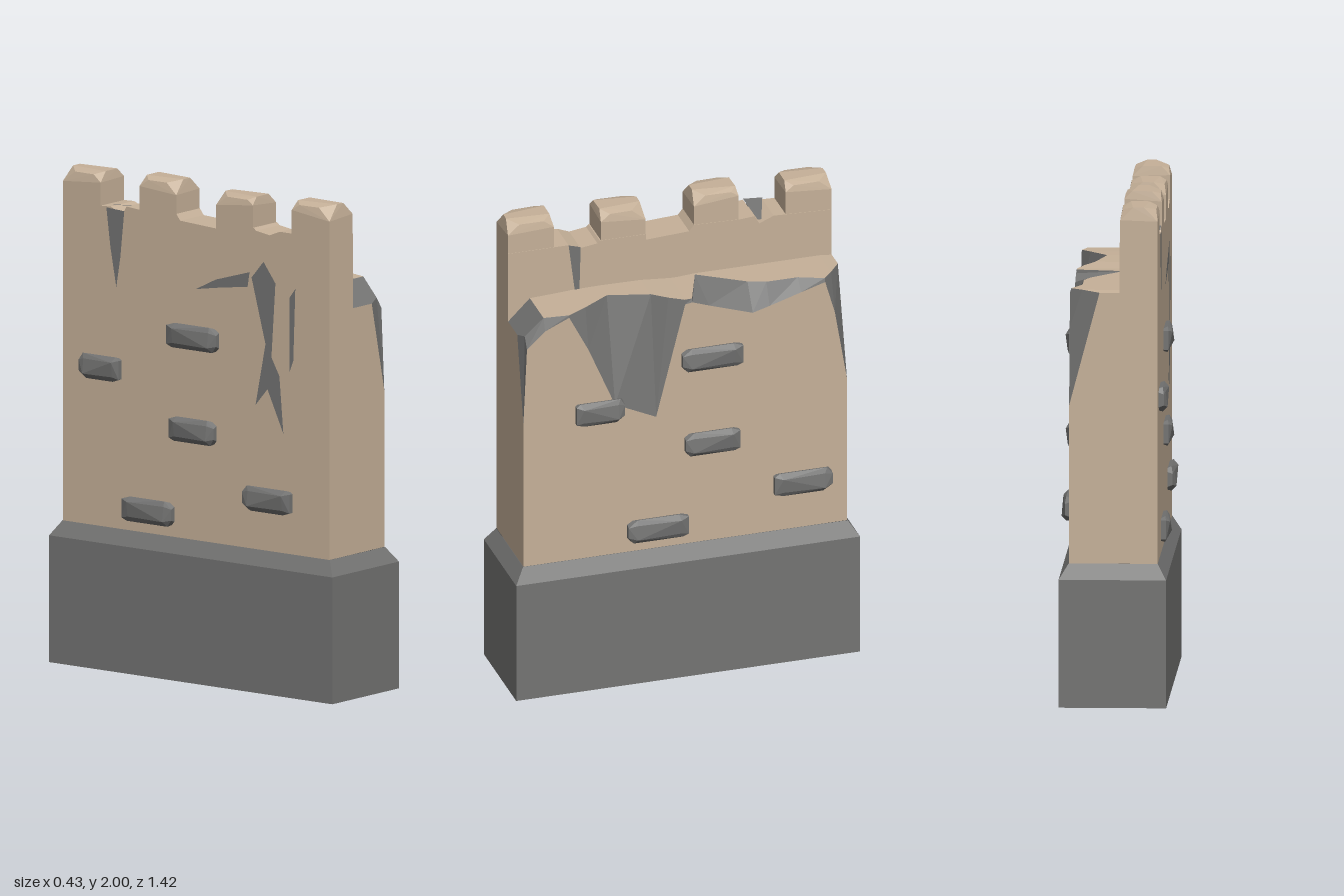
import * as THREE from 'three';
import { ConvexGeometry } from 'three/addons/geometries/ConvexGeometry.js';

const V = (x, y, z) => new THREE.Vector3(x, y, z);
const material = (name, color) => {
  const m = new THREE.MeshStandardMaterial({ color, flatShading: true, side: THREE.DoubleSide });
  m.name = name;
  return m;
};

// Joins successive rows of points with quads
function strip(rows) {
  const pts = [];
  for (let i = 0; i + 1 < rows.length; i++) {
    for (let j = 0; j + 1 < rows[i].length; j++) {
      const a = rows[i][j], c = rows[i][j + 1], b = rows[i + 1][j], d = rows[i + 1][j + 1];
      pts.push(a, c, b, c, d, b);
    }
  }
  const g = new THREE.BufferGeometry().setFromPoints(pts);
  g.computeVertexNormals();
  return g;
}

const shapeOf = (pts) => new THREE.Shape(pts.map(([a, b]) => new THREE.Vector2(a, b)));

function ring(x0, x1, z, y) {
  return [V(x0, y, z), V(x1, y, z), V(x1, y, -z), V(x0, y, -z), V(x0, y, z)];
}

export function createModel() {
  const model = new THREE.Group();
  model.name = 'ruinedWall';
  const sand = material('sandstone', 0xc6b199);
  const grey = material('greyStone', 0x747473);
  const add = (name, geometry, mat) => {
    const mesh = new THREE.Mesh(geometry, mat);
    mesh.name = name;
    model.add(mesh);
    return mesh;
  };

  // Hollow plinth with a bevelled upper edge
  add('plinth', strip([
    ring(-0.215, 0.21, 0.712, 0),
    ring(-0.215, 0.21, 0.712, 0.51),
    ring(-0.18, 0.172, 0.672, 0.57),
  ]), grey);

  // Rear half of the wall, with uneven floors between the merlons
  const profile = [
    [0.67, 0.57], [0.67, 1.86], [0.42, 1.86], [0.37, 1.84], [0.3, 1.85], [0.29, 1.86], [0.1, 1.86],
    [0.1, 1.835], [-0.08, 1.845], [-0.1, 1.87], [-0.29, 1.865], [-0.35, 1.87], [-0.37, 1.835],
    [-0.43, 1.86], [-0.67, 1.85], [-0.67, 0.57],
  ];
  const parapet = new THREE.ExtrudeGeometry(shapeOf(profile), { depth: 0.15, bevelEnabled: false });
  parapet.rotateY(-Math.PI / 2).translate(-0.03, 0, 0);
  add('parapetWall', parapet, sand);

  // Merlons with chipped upper corners: z range, top, chip size for each corner
  const merlons = [
    [0.48, 0.67, 1.99, [0.035, 0.06, 0.04, 0.05]],
    [0.1, 0.285, 1.98, [0.05, 0.03, 0.055, 0.04]],
    [-0.285, -0.1, 2.0, [0.04, 0.055, 0.03, 0.05]],
    [-0.67, -0.48, 1.99, [0.055, 0.04, 0.05, 0.035]],
  ];
  for (const [z0, z1, top, chips] of merlons) {
    const pts = [];
    [[-0.18, z0], [-0.18, z1], [-0.032, z0], [-0.032, z1]].forEach(([x, z], k) => {
      const c = chips[k];
      const sx = x < -0.1 ? c : -c;
      const sz = z === z0 ? c : -c;
      pts.push(V(x, 1.83, z), V(x, top - c, z), V(x + sx, top, z + sz * 0.15));
      pts.push(V(x + sx * 0.15, top - 0.012, z + sz));
    });
    add('merlon', new ConvexGeometry(pts), sand);
  }

  // Broken walkway sections: z, edge of the top, top height, height where the outer face begins
  const sections = [
    [0.67, 0.09, 1.56, 1.2],
    [0.655, 0.14, 1.575, 1.53],
    [0.58, 0.15, 1.65, 1.6],
    [0.48, 0.168, 1.655, 1.645],
    [0.4, 0.13, 1.66, 1.49],
    [0.29, 0.06, 1.662, 1.23],
    [0.12, 0.1, 1.66, 1.15],
    [0.06, 0.14, 1.655, 1.39],
    [0, 0.168, 1.65, 1.63],
    [-0.03, 0.165, 1.65, 1.635],
    [-0.1, -0.02, 1.655, 1.61],
    [-0.28, 0.1, 1.655, 1.55],
    [-0.35, 0.125, 1.655, 1.57],
    [-0.48, 0.125, 1.655, 1.61],
    [-0.58, 0.165, 1.655, 1.64],
    [-0.62, 0.12, 1.655, 1.5],
    [-0.67, 0.05, 1.65, 1.2],
  ];
  const tops = sections.map(([z, x, y]) => [V(-0.03, y, z), V(x, y, z)]);
  const breaks = sections.map(([z, x, y, out]) => [V(x, y, z), V(0.17, out, z)]);
  const faces = sections.map(([z, , , out]) => [V(0.17, out, z), V(0.17, 0.57, z)]);
  add('walkwayTop', strip(tops.slice(2)), sand);
  add('crumbledEnd', strip(tops.slice(0, 3)), grey);
  add('brokenEdge', strip(breaks), grey);
  add('outerFace', strip(faces), sand);
  for (const [z, x, y, out] of [sections[0], sections[sections.length - 1]]) {
    const outline = shapeOf([[-0.03, 0.57], [0.17, 0.57], [0.17, out], [x, y], [-0.03, y]]);
    const cap = new THREE.ShapeGeometry(outline);
    if (z < 0) {
      // Turn the cap to face backwards
      const index = cap.index.array;
      for (let i = 0; i < index.length; i += 3) [index[i], index[i + 1]] = [index[i + 1], index[i]];
      cap.computeVertexNormals();
    }
    add('wallEnd', cap.translate(0, 0, z), sand);
  }

  // Projecting stones on both long faces: z, y, width, height
  const stones = [
    [-0.11, 1.385, 0.25, 0.1],
    [0.355, 1.21, 0.2, 0.1],
    [-0.11, 1.01, 0.225, 0.1],
    [-0.485, 0.775, 0.24, 0.1],
    [0.115, 0.66, 0.25, 0.1],
  ];
  for (const side of [1, -1]) {
    stones.forEach(([z, y, w, h], k) => {
      const cz = side > 0 ? z : -z - 0.12;
      const face = side > 0 ? 0.17 : -0.18;
      const pts = [];
      for (const a of [-1, 1]) {
        for (const b of [-1, 1]) {
          const skew = a * b * (k % 2 ? 0.008 : -0.008);
          const dz = a * w / 2, dy = b * h / 2;
          pts.push(V(face - side * 0.02, y + dy * 0.75, cz + dz));
          pts.push(V(face + side * 0.02, y + dy * 0.6 + skew, cz + dz));
          pts.push(V(face + side * 0.015, y + dy, cz + dz * 0.75 + skew));
          pts.push(V(face + side * (0.03 + skew / 2), y + dy * 0.6, cz + dz * 0.72));
        }
      }
      add('projectingStone', new ConvexGeometry(pts), grey);
    });
  }

  // Cracks as thin faces, outlined in z and y
  const cracks = [
    [-0.028, [[0.42, 1.86], [0.37, 1.845], [0.375, 1.66], [0.395, 1.66]]],
    [-0.182, [[-0.45, 1.855], [-0.36, 1.85], [-0.38, 1.66], [-0.4, 1.54], [-0.43, 1.7]]],
    [-0.182, [[0.34, 1.73], [0.4, 1.65], [0.38, 1.35], [0.42, 1.28], [0.44, 1.05],
      [0.36, 1.22], [0.3, 1.15], [0.35, 1.4], [0.28, 1.66]]],
    [-0.182, [[0.5, 1.64], [0.49, 1.35], [0.47, 1.3], [0.47, 1.6]]],
    [-0.182, [[0, 1.58], [0.1, 1.63], [0.27, 1.68], [0.26, 1.62], [0.12, 1.6]]],
  ];
  for (const [x, outline] of cracks) {
    const g = new THREE.ShapeGeometry(shapeOf(outline)).rotateY(-Math.PI / 2);
    add('crack', g.translate(x, 0, 0), grey);
  }
  // Crack running across the gap between two merlons
  add('crackFloor', strip([
    [V(-0.18, 1.868, -0.43), V(-0.035, 1.85, -0.38)],
    [V(-0.18, 1.874, -0.35), V(-0.035, 1.85, -0.365)],
  ]), grey);

  return model;
}
